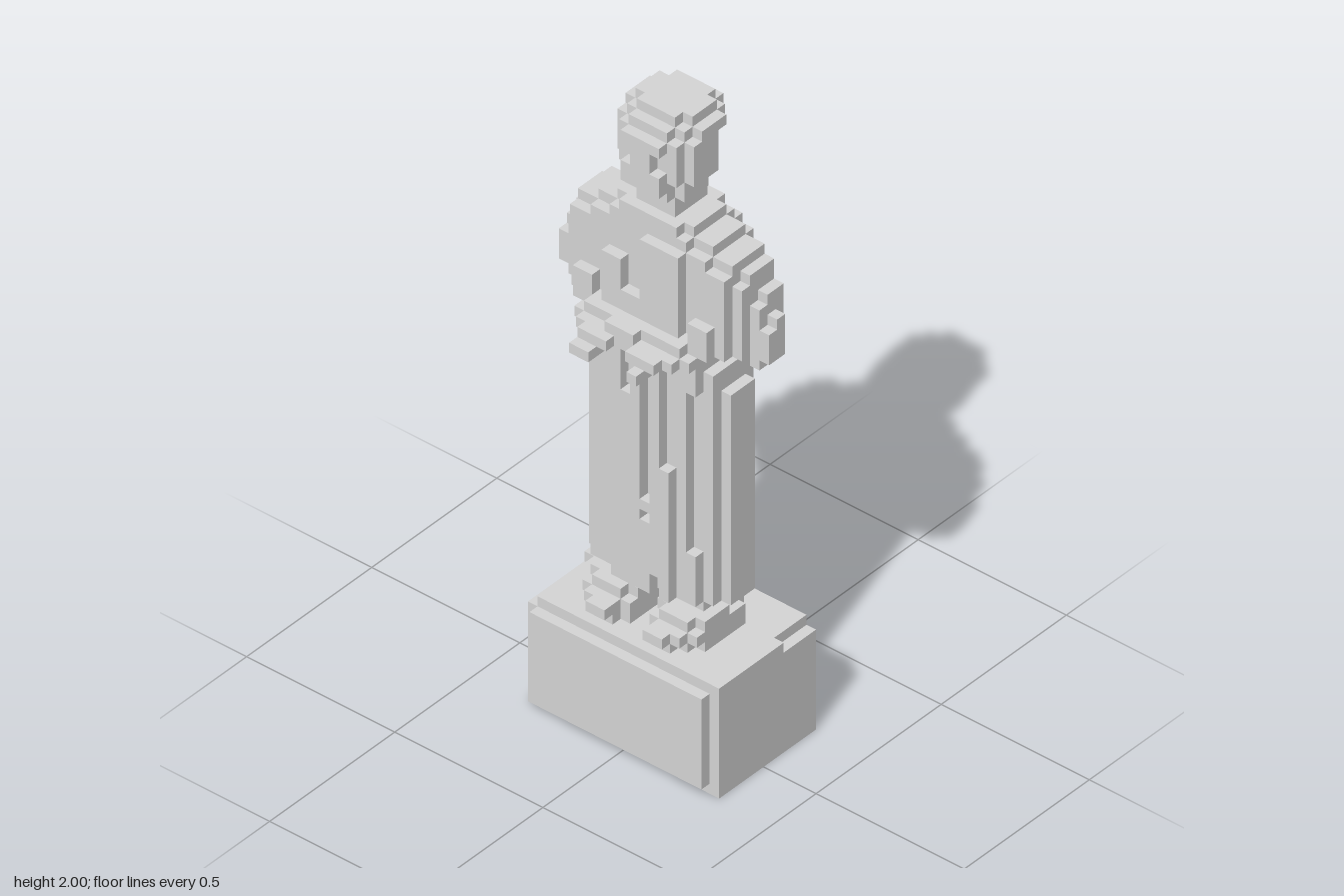
import * as THREE from 'three';

const V = 2 / 62; // edge of one block; x and y blocks start on whole steps, z blocks are centred on them
const NAMES = ['plinth', 'feet', 'robe', 'torso', 'arms', 'hands', 'head'];
const SIDES = [[1, 0, 0], [-1, 0, 0], [0, 1, 0], [0, -1, 0], [0, 0, 1], [0, 0, -1]];

export function createModel() {
  const stone = new THREE.MeshStandardMaterial({ color: 0xd6d6d6 });
  stone.name = 'paleStone';
  const blocks = new Map();
  const key = (x, y, z) => `${x},${y},${z}`;

  // Fill or carve a box of blocks: x and y ends exclusive, z ends inclusive
  const fill = (part, x0, x1, y0, y1, z0, z1) => {
    for (let x = x0; x < x1; x++) for (let y = y0; y < y1; y++) for (let z = z0; z <= z1; z++) {
      if (part) { if (!blocks.has(key(x, y, z))) blocks.set(key(x, y, z), { part, x, y, z }); }
      else blocks.delete(key(x, y, z));
    }
  };
  const carve = (...box) => fill(null, ...box);
  // One rounded layer: half width, z range and squareness of the outline
  const layer = (part, y, hw, z0, z1, n = 2.6) => {
    const c = (z0 + z1) / 2, r = (z1 - z0 + 1) / 2;
    for (let x = -hw; x < hw; x++) for (let z = z0; z <= z1; z++) {
      const d = Math.abs((x + 0.5) / hw) ** n + Math.abs((z - c) / r) ** n;
      if (d <= 1) fill(part, x, x + 1, y, y + 1, z, z);
    }
  };

  // Plinth with a raised front panel, chipped top edges and a rough wedge on the back
  fill('plinth', -10, 10, 0, 11, -6, 5);
  fill('plinth', -9, 9, 1, 10, 6, 6);
  carve(9, 10, 10, 11, -6, -3);
  carve(-10, -9, 10, 11, -1, 5);
  carve(-10, -9, 10, 11, -6, -6);
  const wedgeTops = [10, 10, 10, 10, 10, 10, 9, 9, 8, 7, 7, 6, 5, 5, 4, 4, 3, 2];
  wedgeTops.forEach((top, i) => fill('plinth', i - 9, i - 8, 1 + Math.floor((17 - i) / 2.1), top, -7, -7));

  // Feet with stepped toes, heels and ankles
  for (const s of [-1, 1]) {
    const foot = (a, b, ...rest) => fill('feet', s > 0 ? a : -b, s > 0 ? b : -a, ...rest);
    foot(1, 6, 11, 12, -2, 2);
    foot(1, 5, 11, 12, 3, 3);
    foot(2, 4, 11, 12, 4, 4);
    foot(1, 6, 12, 13, -2, 3);
    foot(2, 5, 12, 13, -3, 4);
    foot(2, 4, 12, 13, 5, 5);
    foot(2, 5, 13, 14, -2, 3);
    foot(1, 6, 13, 14, 0, 2);
    foot(2, 5, 14, 15, -2, 1);
  }

  // Robe in pleats: front and back depth of each column
  const front = [1, 2, 2, 2, 3, 3, 3, 3, 3, 3, 2, 2, 1, 0];
  const back = [-1, -2, -3, -4, -4, -4, -4, -4, -4, -4, -4, -3, -3, -2];
  const robeTop = [34, 40, 42, 42, 42, 42, 42, 42, 42, 42, 42, 42, 38, 36];
  front.forEach((f, i) => fill('robe', i - 7, i - 6, 15, robeTop[i], back[i], f));

  // Torso and rounded shoulders
  for (let y = 40; y < 50; y++) layer('torso', y, 6, -4, 3, 3.2);
  layer('torso', 50, 6, -3, 2);
  layer('torso', 51, 4, -3, 2);

  // Folds cut into the cloth, front then back
  carve(0, 1, 24, 37, 3, 3);
  carve(0, 1, 22, 23, 3, 3);
  carve(1, 2, 15, 17, 3, 3);
  carve(-2, -1, 34, 40, 3, 3);
  carve(2, 3, 28, 39, 3, 3);
  carve(4, 5, 20, 36, 2, 2);
  carve(-2, 0, 44, 50, 3, 3);
  carve(-4, -2, 47, 50, 3, 3);
  carve(-1, 0, 26, 46, -4, -4);
  carve(-4, -3, 34, 44, -4, -4);
  carve(1, 2, 40, 50, -4, -4);
  carve(3, 4, 15, 20, -4, -4);

  // Arms bent outward: bottom, top and depth of each column from the shoulder out, narrower on top
  const arm = [[41, 50, -3, 2], [41, 50, -2, 2], [41, 50, -2, 2], [41, 49, -2, 1], [40, 47, -2, 0], [41, 45, -1, 0]];
  for (const s of [-1, 1]) {
    arm.forEach(([y0, y1, z0, z1], i) => {
      const x = s > 0 ? 5 + i : -6 - i;
      fill('arms', x, x + 1, y0, y1 - 1, z0, z1);
      fill('arms', x, x + 1, y1 - 1, y1, z0, z1 - 1);
    });
    fill('arms', s > 0 ? 5 : -7, s > 0 ? 7 : -5, 41, 44, 2, 3);
  }

  // Forearms meeting in front, hands reaching forward
  fill('hands', -5, 5, 41, 42, 3, 4);
  fill('hands', -2, 1, 41, 42, 5, 5);
  fill('hands', -6, 6, 40, 41, 2, 4);
  fill('hands', -5, 5, 40, 41, 5, 5);
  fill('hands', -4, -1, 40, 41, 6, 6);
  fill('hands', 1, 4, 40, 41, 6, 6);
  fill('hands', -4, -2, 39, 40, 6, 7);
  fill('hands', 2, 3, 39, 40, 6, 7);

  // Neck, rounded head, hair and eye sockets either side of the nose
  fill('head', -2, 2, 52, 54, -2, 1);
  layer('head', 54, 3, -2, 2, 2);
  layer('head', 55, 3, -3, 3, 2);
  for (let y = 56; y < 60; y++) layer('head', y, 4, -3, 3, 1.8);
  layer('head', 60, 4, -4, 2, 1.8);
  layer('head', 61, 3, -3, 1, 2.2);
  carve(-2, -1, 57, 59, 3, 3);
  carve(1, 2, 57, 59, 3, 3);

  // Build only the exposed block faces, one mesh per part
  const group = new THREE.Group();
  group.name = 'statue';
  for (const name of NAMES) {
    const pos = [], nor = [];
    for (const b of blocks.values()) {
      if (b.part !== name) continue;
      for (const d of SIDES) {
        if (blocks.has(key(b.x + d[0], b.y + d[1], b.z + d[2]))) continue;
        const axis = d.findIndex((v) => v !== 0), u = (axis + 1) % 3, w = (axis + 2) % 3;
        const ring = [[-1, -1], [1, -1], [1, 1], [-1, 1]];
        if (d[axis] < 0) ring.reverse();
        const corners = ring.map(([p, q]) => {
          const c = [b.x + 0.5, b.y + 0.5, b.z];
          c[axis] += d[axis] / 2;
          c[u] += p / 2;
          c[w] += q / 2;
          return c.map((v) => v * V);
        });
        for (const i of [0, 1, 2, 0, 2, 3]) { pos.push(...corners[i]); nor.push(...d); }
      }
    }
    const geo = new THREE.BufferGeometry();
    geo.setAttribute('position', new THREE.Float32BufferAttribute(pos, 3));
    geo.setAttribute('normal', new THREE.Float32BufferAttribute(nor, 3));
    const mesh = new THREE.Mesh(geo, stone);
    mesh.name = name;
    group.add(mesh);
  }
  return group;
}
